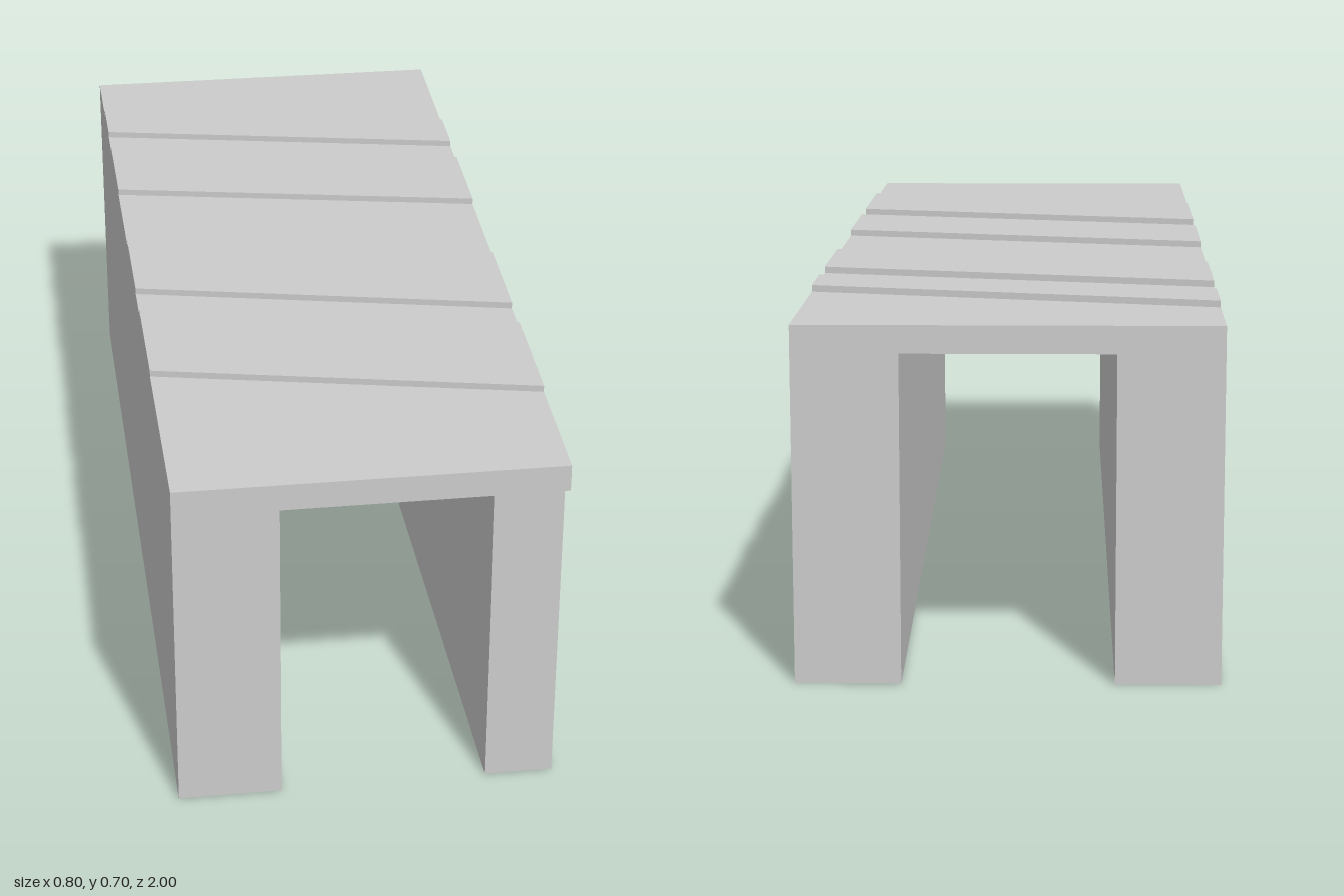
import * as THREE from 'three';

const material = new THREE.MeshStandardMaterial({ color: 0xcccccc, flatShading: true });

// Extrude a plan outline of [x, z] points from height y0 up to y1
function prism(name, plan, y0, y1) {
  const shape = new THREE.Shape(plan.map(([x, z]) => new THREE.Vector2(x, -z)));
  const geometry = new THREE.ExtrudeGeometry(shape, { depth: y1 - y0, bevelEnabled: false });
  geometry.rotateX(-Math.PI / 2).translate(0, y0, 0);
  const mesh = new THREE.Mesh(geometry, material);
  mesh.name = name;
  return mesh;
}

const LEFT = -0.4, SOFFIT = 0.63, DECK = 0.683, TOP = 0.696;

// x of the slanted deck edge at a given z
const deckEdge = (z) => 0.372 - 0.028 * z;

export function createModel() {
  const group = new THREE.Group();
  group.name = 'culvert';

  // Straight wall, and opposite wall with a slanted outer face
  group.add(prism('straightWall', [[LEFT, 1], [-0.2, 1], [-0.2, -1], [LEFT, -1]], 0, SOFFIT));
  group.add(prism('slantedWall', [[0.2, 1], [0.333, 1], [0.367, 0], [0.4, -1], [0.2, -1]], 0, SOFFIT));

  // Deck slab, slightly overhanging the slanted wall at the front
  group.add(prism('deckSlab', [[LEFT, 1], [deckEdge(1), 1], [deckEdge(-1), -1], [LEFT, -1]], SOFFIT, DECK));

  // Skewed raised bands: [front z, back z] at the straight edge, then at the slanted edge
  const bands = [
    [0.545, 0.275, 0.71, 0.435],
    [0.175, -0.06, 0.345, 0.1],
    [-0.335, -0.575, -0.18, -0.415],
    [-0.67, -0.805, -0.51, -0.64],
  ];
  bands.forEach(([frontL, backL, frontR, backR], i) => {
    const plan = [[LEFT, frontL], [deckEdge(frontR), frontR], [deckEdge(backR), backR], [LEFT, backL]];
    group.add(prism(`raisedBand${i + 1}`, plan, DECK, TOP));
  });

  return group;
}
